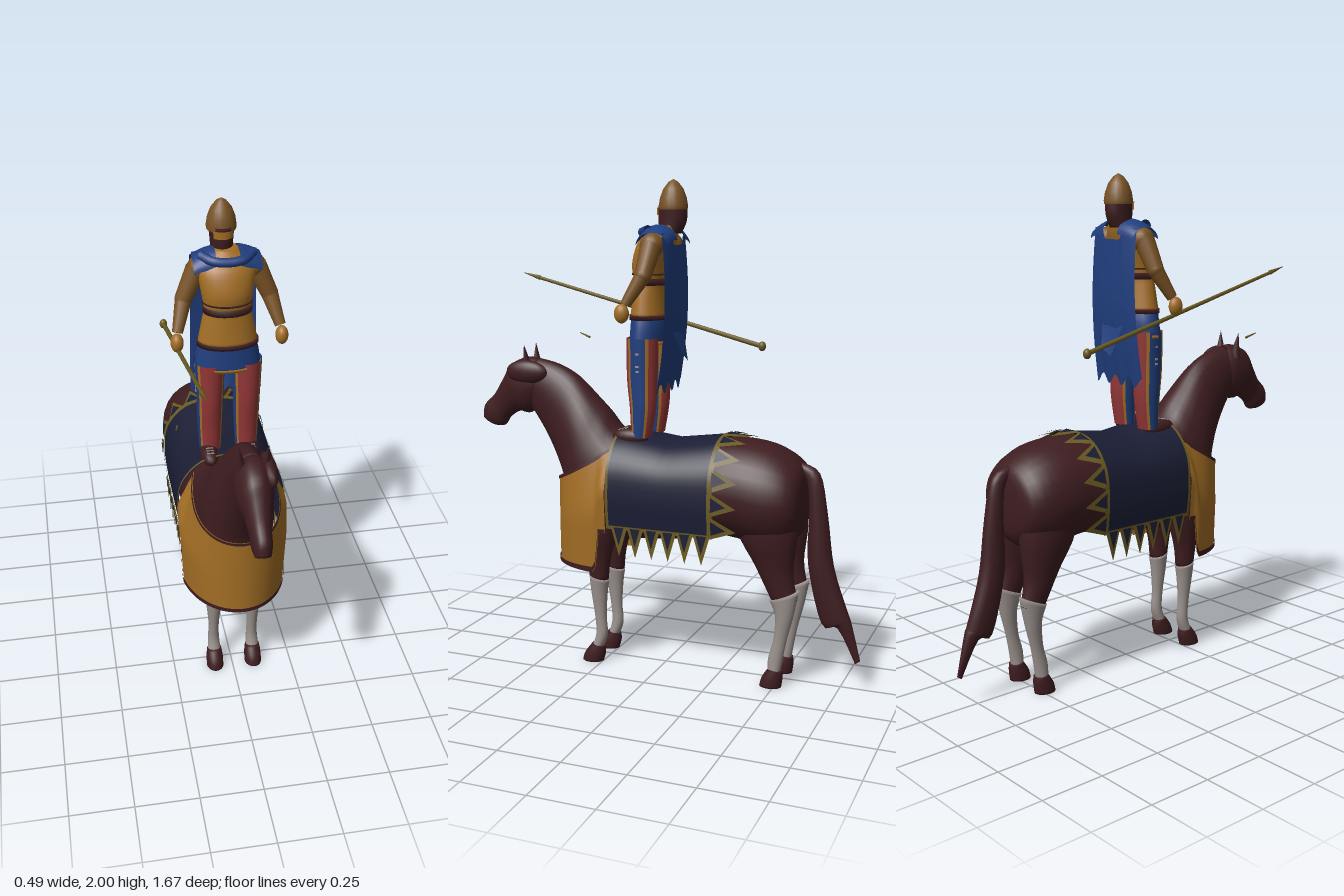
import * as THREE from 'three';

const mat = (name, color) => new THREE.MeshStandardMaterial({ name, color, side: THREE.DoubleSide });
const M = {
  coat: mat('horse brown', 0x3e1d20), white: mat('stocking white', 0x9a918d),
  navy: mat('blanket navy', 0x1b1e35), olive: mat('olive trim', 0x6a5a22),
  gold: mat('armour gold', 0xa36e25), bronze: mat('bronze', 0x785224),
  blue: mat('cloth blue', 0x203e7e), red: mat('trouser red', 0x923636),
};
const CX = 0.015; // the figure's centre line

const build = (pos, idx) => {
  const g = new THREE.BufferGeometry();
  g.setAttribute('position', new THREE.Float32BufferAttribute(pos, 3));
  if (idx) g.setIndex(idx);
  g.computeVertexNormals();
  return g;
};

// Skin over elliptical rings; each row is [zA, yA, zB, yB, halfWidth], A and B being opposite points
function loft(rows, { x = CX, n = 20, steps = 4, a0 = 0, a1 = Math.PI * 2 } = {}) {
  const full = a1 - a0 > 6.28, cols = full ? n : n + 1, pos = [], idx = [];
  const at = i => rows[Math.max(0, Math.min(rows.length - 1, i))];
  const count = (rows.length - 1) * steps + 1;
  for (let k = 0; k < count; k++) {
    const i = Math.floor(k / steps), t = k / steps - i;
    const [zA, yA, zB, yB, w] = rows[0].map((_, c) => {
      const p0 = at(i - 1)[c], p1 = at(i)[c], p2 = at(i + 1)[c], p3 = at(i + 2)[c];
      return p1 + 0.5 * t * (p2 - p0 + t * (2 * p0 - 5 * p1 + 4 * p2 - p3 + t * (3 * (p1 - p2) + p3 - p0)));
    });
    for (let j = 0; j < cols; j++) {
      const a = a0 + (a1 - a0) * j / n, c = Math.cos(a) / 2;
      pos.push(x + w * Math.sin(a), (yA + yB) / 2 + (yA - yB) * c, (zA + zB) / 2 + (zA - zB) * c);
    }
  }
  for (let k = 0; k < count - 1; k++) for (let j = 0; j < n; j++) {
    const a = k * cols + j, b = k * cols + (j + 1) % cols;
    idx.push(a, b, a + cols, b, b + cols, a + cols);
  }
  if (full) [rows[0], rows[rows.length - 1]].forEach((r, e) => {
    const c = pos.length / 3, base = e * (count - 1) * cols;
    pos.push(x, (r[1] + r[3]) / 2, (r[0] + r[2]) / 2);
    for (let j = 0; j < n; j++) {
      const p = base + j, q = base + (j + 1) % n;
      idx.push(c, e ? p : q, e ? q : p);
    }
  });
  // turn the faces outward when the rows run the other way
  let vol = 0;
  const v = i => new THREE.Vector3().fromArray(pos, idx[i] * 3).sub(new THREE.Vector3().fromArray(pos, 0));
  for (let i = 0; i < idx.length; i += 3) vol += v(i).dot(v(i + 1).cross(v(i + 2)));
  if (vol < 0) idx.reverse();
  return build(pos, idx);
}

// Sheet from f(u, v) -> [x, y, z]
function sheet(f, [u0, u1], [v0, v1], nu = 24, nv = 8) {
  const pos = [], idx = [];
  for (let i = 0; i <= nv; i++) for (let j = 0; j <= nu; j++)
    pos.push(...f(u0 + (u1 - u0) * j / nu, v0 + (v1 - v0) * i / nv));
  for (let i = 0; i < nv; i++) for (let j = 0; j < nu; j++) {
    const a = i * (nu + 1) + j, b = a + nu + 1;
    idx.push(a, a + 1, b, a + 1, b + 1, b);
  }
  return build(pos, idx);
}

export function createModel() {
  const root = new THREE.Group();
  const horse = new THREE.Group(), rider = new THREE.Group();
  horse.name = 'horse'; rider.name = 'rider';
  root.add(horse, rider);
  const add = (parent, name, geo, m) => {
    const mesh = new THREE.Mesh(geo, m);
    mesh.name = name;
    parent.add(mesh);
    return mesh;
  };
  const ball = (parent, name, m, p, s) => {
    const b = add(parent, name, new THREE.SphereGeometry(1, 16, 12), m);
    b.position.set(...p); b.scale.set(...s);
  };
  const rod = (parent, name, m, a, b, ra, rb, n = 14) => {
    const A = new THREE.Vector3(...a), d = new THREE.Vector3(...b).sub(A);
    const r = add(parent, name, new THREE.CylinderGeometry(rb, ra, d.length(), n), m);
    r.position.copy(A).addScaledVector(d, 0.5);
    r.quaternion.setFromUnitVectors(new THREE.Vector3(0, 1, 0), d.normalize());
  };

  // Horse: trunk with neck, head, tail
  add(horse, 'bodyAndNeck', loft([
    [-0.6, 0.83, -0.6, 0.73, 0.04], [-0.575, 0.91, -0.58, 0.62, 0.155], [-0.46, 0.975, -0.47, 0.56, 0.2],
    [-0.28, 0.99, -0.28, 0.59, 0.2], [-0.1, 0.95, -0.1, 0.56, 0.2], [0.08, 0.95, 0.08, 0.54, 0.185],
    [0.19, 1, 0.22, 0.53, 0.162], [0.24, 1.06, 0.4, 0.6, 0.145], [0.3, 1.12, 0.445, 0.78, 0.122],
    [0.39, 1.205, 0.51, 0.92, 0.085], [0.48, 1.25, 0.58, 1.03, 0.066], [0.57, 1.27, 0.62, 1.08, 0.06],
  ], { n: 28 }), M.coat);
  add(horse, 'head', loft([
    [0.53, 1.25, 0.53, 1.14, 0.035], [0.6, 1.275, 0.56, 1.08, 0.07], [0.69, 1.245, 0.61, 1.035, 0.07],
    [0.735, 1.18, 0.66, 1.04, 0.055], [0.78, 1.11, 0.71, 1.01, 0.042], [0.83, 1.06, 0.735, 0.975, 0.038],
    [0.84, 1.01, 0.77, 0.97, 0.03],
  ]), M.coat);
  add(horse, 'tail', loft([
    [-0.56, 0.87, -0.57, 0.91, 0.018], [-0.6, 0.83, -0.65, 0.87, 0.028], [-0.61, 0.7, -0.685, 0.71, 0.036],
    [-0.61, 0.5, -0.715, 0.5, 0.041], [-0.67, 0.26, -0.775, 0.32, 0.034], [-0.735, 0.25, -0.79, 0.28, 0.024],
    [-0.81, 0.11, -0.83, 0.125, 0.004],
  ], { n: 12 }), M.coat);
  for (const s of [-1, 1]) {
    const ear = add(horse, 'ear', new THREE.ConeGeometry(0.026, 0.12, 8), M.coat);
    ear.position.set(CX + s * 0.048, 1.27, 0.605);
    ear.rotation.set(0.1, 0, -s * 0.1);
    const x = CX - 0.007 + s * 0.083;
    add(horse, 'frontUpperLeg', loft([
      [0.38, 0.74, 0.15, 0.72, 0.07], [0.35, 0.6, 0.18, 0.58, 0.064],
      [0.32, 0.46, 0.215, 0.45, 0.044], [0.305, 0.36, 0.225, 0.36, 0.036]], { x }), M.coat);
    add(horse, 'frontStocking', loft([
      [0.308, 0.38, 0.222, 0.36, 0.039], [0.3, 0.3, 0.23, 0.3, 0.03], [0.285, 0.2, 0.235, 0.2, 0.022],
      [0.28, 0.12, 0.23, 0.12, 0.024], [0.3, 0.06, 0.25, 0.06, 0.028]], { x }), M.white);
    add(horse, 'frontHoof', loft([[0.297, 0.078, 0.243, 0.068, 0.03], [0.33, 0.035, 0.24, 0.04, 0.035],
      [0.342, 0, 0.25, 0, 0.036]], { x }), M.coat);
    add(horse, 'hindUpperLeg', loft([
      [-0.32, 0.84, -0.57, 0.82, 0.085], [-0.34, 0.64, -0.585, 0.64, 0.085],
      [-0.415, 0.5, -0.57, 0.48, 0.054], [-0.485, 0.36, -0.59, 0.37, 0.036]], { x }), M.coat);
    add(horse, 'hindStocking', loft([
      [-0.475, 0.36, -0.597, 0.41, 0.039], [-0.5, 0.3, -0.575, 0.3, 0.031], [-0.495, 0.2, -0.55, 0.2, 0.022],
      [-0.475, 0.12, -0.535, 0.12, 0.024], [-0.475, 0.06, -0.525, 0.06, 0.028]], { x }), M.white);
    add(horse, 'hindHoof', loft([[-0.478, 0.078, -0.532, 0.068, 0.03], [-0.45, 0.035, -0.535, 0.04, 0.035],
      [-0.44, 0, -0.53, 0, 0.036]], { x }), M.coat);
  }
  // Mane falling over the left of the poll
  ball(horse, 'mane', M.coat, [CX + 0.055, 1.215, 0.6], [0.032, 0.05, 0.095]);

  // Blanket draped over the back, with a fringe of bordered triangles
  const drapeLine = new THREE.CatmullRomCurve3([[-0.205, 0.62], [-0.217, 0.75], [-0.2, 0.865], [-0.125, 0.945], [0, 0.97],
    [0.125, 0.945], [0.2, 0.865], [0.217, 0.75], [0.205, 0.62]].map(p => new THREE.Vector3(...p, 0)));
  const drape = (lift = 0) => (s, z) => {
    const p = drapeLine.getPointAt(s);
    const rise = Math.max(0, (p.y - 0.62) / 0.35) ** 2 * 0.03 * Math.min(1, Math.abs(z + 0.05) / 0.22);
    const drop = Math.max(0, -0.28 - z) * 0.1;
    return [CX + p.x * (1 + lift * 5 - drop * 2), p.y + rise - drop + lift * (p.y - 0.62) * 3, z];
  };
  add(horse, 'blanket', sheet(drape(), [0, 1], [0.17, -0.27], 40, 10), M.navy);
  add(horse, 'blanketBackTrim', sheet(drape(0.004), [0, 1], [-0.258, -0.28], 40, 1), M.olive);
  add(horse, 'blanketFrontTrim', sheet(drape(0.004), [0, 1], [0.172, 0.16], 40, 1), M.olive);
  for (const [a, b] of [[0, 0.015], [0.985, 1]])
    add(horse, 'blanketHem', sheet(drape(0.004), [a, b], [0.17, -0.27], 1, 8), M.olive);
  const fringe = (name, k, lift, m) => {
    const pos = [], back = drape(lift), count = 11, pitch = 0.07;
    for (let i = 0; i < count; i++) {
      const c = (i + 0.5) / count, h = k * 0.5 / count, z = -0.27 - 0.012 * (1 - k);
      pos.push(...back(c - h, z), ...back(c + h, z), ...back(c, -0.27 - 0.105 * k));
    }
    for (const s of [-1, 1]) for (let i = 0; i < 6; i++) {
      const z = 0.15 - pitch * (i + 0.5), x = CX + s * (0.207 + lift), h = k * pitch / 2;
      pos.push(x, 0.63, z - h, x, 0.63, z + h, x, 0.63 - 0.12 * k, z);
    }
    add(horse, name, build(pos), m);
  };
  fringe('fringeBorder', 1, 0.004, M.olive);
  fringe('fringeCentre', 0.62, 0.008, M.navy);

  // Chest armour wrapped round the front, with dark edges and notched rear corners
  const chest = (out = 0) => (u, v) => {
    const a = u * Math.PI / 2, top = 0.78 + 0.16 * u * u;
    const low = 0.43 + 0.17 * THREE.MathUtils.smoothstep(Math.abs(u), 0.89, 0.93);
    const lean = 1 - 0.32 * Math.max(0, v - 0.55) / 0.45 * u * u - 0.05 * (1 - Math.min(1, v * 2));
    return [CX + (0.224 + out) * Math.sin(a) * lean, low + (top - low) * v, 0.175 + (0.285 + out) * Math.cos(a)];
  };
  add(horse, 'chestArmour', sheet(chest(), [-1, 1], [0, 1], 60, 10), M.gold);
  add(horse, 'chestArmourHem', sheet(chest(0.004), [-1, 1], [0, 0.05], 60, 1), M.coat);
  add(horse, 'chestArmourCollar', sheet(chest(0.004), [-1, 1], [0.965, 1], 60, 1), M.coat);

  // Rider: legs with side panels, boots
  const rx = 0.018;
  for (const s of [-1, 1]) {
    const x = rx + s * 0.073, rad = Math.PI / 180;
    const rows = [[0.13, 1.38, 0.0, 1.38, 0.06], [0.13, 1.22, 0.005, 1.22, 0.053],
      [0.118, 1.1, 0.01, 1.1, 0.05], [0.112, 0.98, 0.03, 0.98, 0.044]];
    const strip = (name, from, to, m) =>
      add(rider, name, loft(rows, { x, n: 8, a0: from * rad, a1: to * rad }), m);
    strip('trouserFront', -48, 48, M.red);
    strip('trouserBack', 132, 228, M.red);
    for (const o of [0, 180]) {
      strip('trouserPanel', 61 + o, 119 + o, M.blue);
      strip('trouserPiping', 48 + o, 61 + o, M.gold);
      strip('trouserPiping', 119 + o, 132 + o, M.gold);
    }
    for (const y of [1.25, 1.27, 1.32]) {
      const mark = add(rider, 'panelMark', new THREE.BoxGeometry(0.006, 0.008, 0.014), M.white);
      mark.position.set(x + s * 0.055, y, 0.066);
    }
    ball(rider, 'boot', M.coat, [rx + s * 0.085, 0.98, 0.115], [0.036, 0.035, 0.078]);
    for (let i = 0; i < 3; i++) {
      const lace = add(rider, 'bootLace', new THREE.BoxGeometry(0.028, 0.006, 0.006), M.white);
      lace.position.set(rx + s * 0.085, 1.012 - i * 0.003, 0.13 + i * 0.014);
    }
  }
  // Skirt, tunic and belts
  add(rider, 'skirt', loft([[0.137, 1.36, -0.01, 1.36, 0.13], [0.133, 1.42, -0.01, 1.42, 0.122], [0.13, 1.47, 0, 1.47, 0.11]]), M.blue);
  add(rider, 'tunic', loft([
    [0.135, 1.46, -0.01, 1.46, 0.117], [0.125, 1.55, 0, 1.55, 0.1], [0.122, 1.6, 0, 1.6, 0.091],
    [0.13, 1.67, -0.015, 1.67, 0.1], [0.105, 1.75, -0.04, 1.75, 0.11], [0.07, 1.79, -0.05, 1.79, 0.085],
    [0.04, 1.82, -0.05, 1.82, 0.045]], { n: 24 }), M.gold);
  for (const [name, y, w, h, z, m] of [['skirtHem', 1.36, 0.132, 0.012, 0.139, M.gold], ['tunicHem', 1.46, 0.12, 0.018, 0.139, M.coat],
    ['belt', 1.6, 0.095, 0.026, 0.128, M.coat], ['beltEdge', 1.63, 0.097, 0.006, 0.13, M.coat]])
    add(rider, name, loft([-1, 1].map(k => [z, y + k * h / 2, -0.012, y + k * h / 2, w]), { x: rx - 0.002, n: 24, steps: 1 }), m);
  // Arms and fists
  for (const s of [-1, 1]) {
    const p = (x, y, z) => [rx + s * x, y, z];
    ball(rider, 'shoulder', M.bronze, p(0.105, 1.745, 0.012), [0.044, 0.048, 0.048]);
    rod(rider, 'upperArm', M.bronze, p(0.112, 1.745, 0.012), p(0.165, 1.63, 0.025), 0.042, 0.034);
    ball(rider, 'elbow', M.bronze, p(0.165, 1.63, 0.025), [0.034, 0.034, 0.034]);
    rod(rider, 'forearm', M.bronze, p(0.165, 1.63, 0.025), p(0.198, 1.52, 0.085), 0.033, 0.021);
    ball(rider, 'fist', M.gold, p(0.202, 1.485, 0.1), [0.025, 0.038, 0.03]);
  }
  // Head and helmet
  const hx = 0.007;
  add(rider, 'head', loft([[0.02, 1.79, -0.065, 1.79, 0.042], [0.028, 1.84, -0.088, 1.84, 0.044],
    [0.027, 1.9, -0.088, 1.9, 0.05]], { x: hx }), M.coat);
  add(rider, 'faceGuard', loft([[0.033, 1.86, -0.06, 1.86, 0.046], [0.033, 1.89, -0.06, 1.89, 0.049]],
    { x: hx, n: 12, a0: -0.9, a1: 0.9 }), M.gold);
  const helmet = add(rider, 'helmet', new THREE.LatheGeometry([[0.056, 0], [0.058, 0.012], [0.053, 0.045], [0.04, 0.08],
    [0.02, 0.106], [0, 0.118]].map(p => new THREE.Vector2(...p)), 20), M.bronze);
  helmet.position.set(hx, 1.882, -0.033);
  // Cape: shoulder folds, neck scarf, back and torn tail
  for (const s of [-1, 1])
    add(rider, 'capeShoulder', sheet((u, v) => {
      const a = v * Math.PI;
      return [rx + s * (0.045 + 0.085 * u), 1.765 - 0.02 * u * u + (0.06 - 0.012 * u) * Math.sin(a), 0.005 + (0.075 - 0.01 * u) * Math.cos(a)];
    }, [0, 1], [0, 1], 6, 14), M.blue);
  const scarf = [[-0.1, 1.805, 0.03], [-0.06, 1.795, 0.07], [0, 1.79, 0.08], [0.06, 1.795, 0.07], [0.1, 1.805, 0.03]];
  add(rider, 'capeScarf', new THREE.TubeGeometry(new THREE.CatmullRomCurve3(
    scarf.map(([x, y, z]) => new THREE.Vector3(rx + x, y, z))), 20, 0.018, 8), M.blue);
  add(rider, 'cape', sheet((u, v) => {
    const low = 1.18 + 0.02 * Math.sin(u * 11), gap = 1 - THREE.MathUtils.smoothstep(Math.abs(u), 0.35, 0.5);
    const top = 1.79 - 0.045 * gap;
    return [rx + u * (0.125 + 0.012 * v), top + (low - top) * v,
      -0.06 - 0.014 * Math.sin(v * Math.PI) + 0.035 * v * v + 0.022 * u * u * (1 - v * 0.7)];
  }, [-1, 1], [0, 1], 32, 14), M.blue);
  add(rider, 'capeTail', sheet((u, v) => [rx + u * 0.07 * (1 - v * 0.6), 1.43 - 0.13 * v + 0.015 * u * v, -0.05 - 0.04 * v],
    [-1, 1], [0, 1], 4, 3), M.blue);

  // Spear and the loose splinter beside it
  rod(root, 'spearShaft', M.olive, [-0.183, 1.337, -0.34], [-0.175, 1.595, 0.66], 0.01, 0.007, 8);
  rod(root, 'spearPoint', M.olive, [-0.175, 1.594, 0.655], [-0.174, 1.615, 0.735], 0.01, 0.001, 8);
  ball(root, 'spearButt', M.olive, [-0.183, 1.335, -0.348], [0.016, 0.02, 0.016]);
  rod(root, 'splinter', M.olive, [-0.245, 1.355, 0.5], [-0.235, 1.338, 0.45], 0.002, 0.005, 5);
  return root;
}
